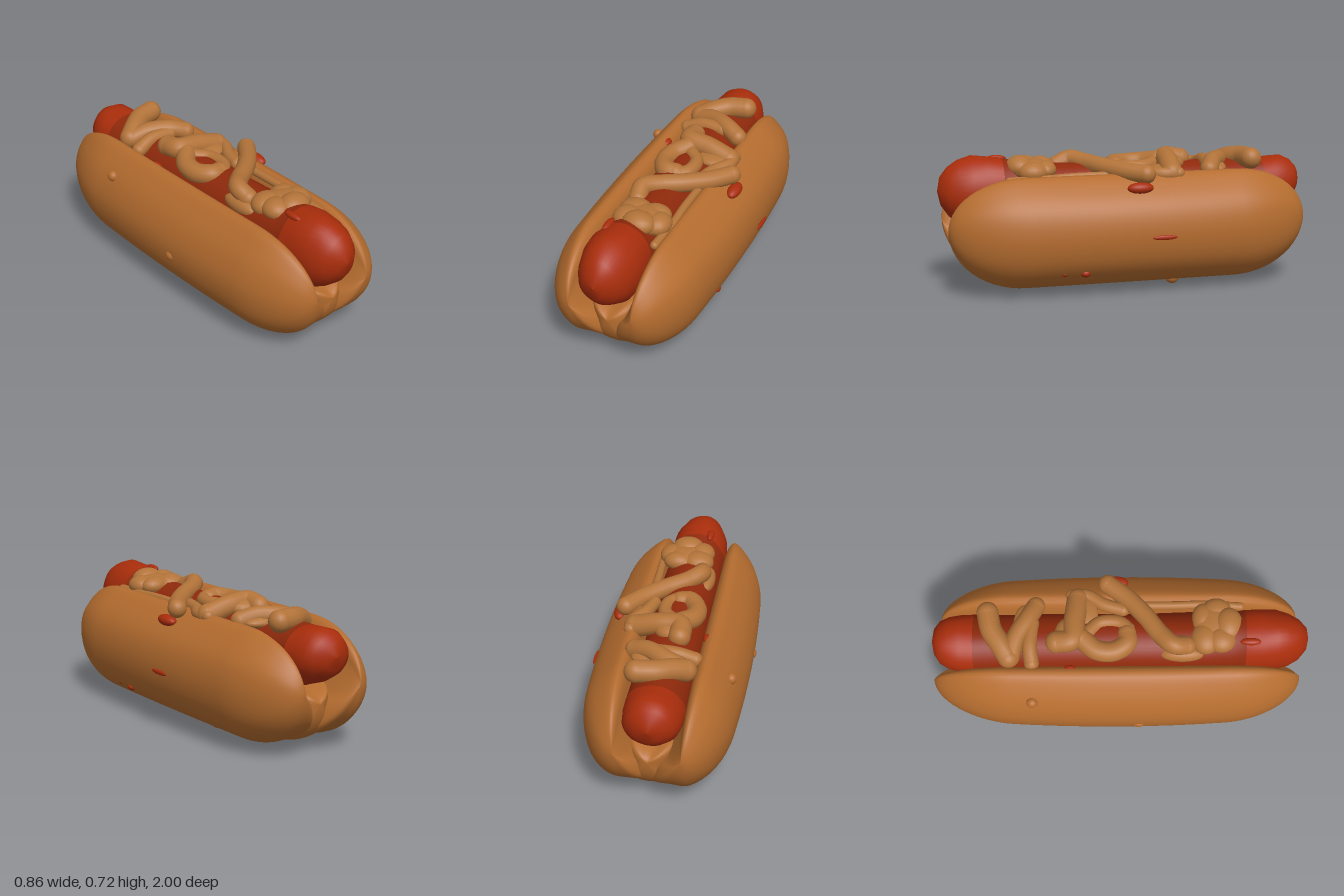
import * as THREE from 'three';

const paint = (name, color) => {
  const m = new THREE.MeshStandardMaterial({ color });
  m.name = name;
  return m;
};

// Skin a list of counterclockwise rings running toward +z
function loft(rings) {
  const n = rings[0].length, pos = [], idx = [];
  rings.forEach(r => r.forEach(p => pos.push(...p)));
  for (let i = 0; i < rings.length - 1; i++) {
    for (let j = 0; j < n; j++) {
      const k = (j + 1) % n;
      const a = i * n + j, b = i * n + k, c = a + n, d = b + n;
      idx.push(a, b, c, b, d, c);
    }
  }
  const g = new THREE.BufferGeometry();
  g.setAttribute('position', new THREE.Float32BufferAttribute(pos, 3));
  g.setIndex(idx);
  g.computeVertexNormals();
  return g;
}

// Piece of bun: a section that shrinks to rounded ends, with the outer side bowed along its length
function bunPiece(section, cx, cy, straight, zBack, zFront) {
  const curve = new THREE.CatmullRomCurve3(
    section.map(([x, y]) => new THREE.Vector3(x, y, 0)), true, 'centripetal');
  const outline = curve.getSpacedPoints(72).slice(0, 72);
  const N = 14, rings = [];
  const ring = (z, s) => rings.push(outline.map(p => {
    const outer = (p.x - cx) * cx > 0;
    const bow = outer ? 1 - 0.25 * z * z : 1;
    return [cx + (p.x - cx) * s * bow, cy + (p.y - cy) * s, z];
  }));
  for (let i = 0; i <= N; i++) {
    const a = (i / N) * Math.PI / 2;
    ring(-straight - (zBack - straight) * Math.cos(a), Math.sin(a) + 0.0005);
  }
  for (let i = 1; i < 12; i++) ring(-straight + 2 * straight * i / 12, 1);
  for (let i = N; i >= 0; i--) {
    const a = (i / N) * Math.PI / 2;
    ring(straight + (zFront - straight) * Math.cos(a), Math.sin(a) + 0.0005);
  }
  return loft(rings);
}

// Sausage piece from stations [z, centreY, radiusX, radiusY]
function sausagePiece(stations) {
  return loft(stations.map(([z, cy, rx, ry]) => Array.from({ length: 40 }, (_, j) => {
    const a = j / 40 * Math.PI * 2;
    const k = 1 + 0.02 * Math.sin(3 * a + z * 17) + 0.012 * Math.sin(5 * a - z * 31);
    return [-0.02 + rx * k * Math.cos(a), cy + ry * k * Math.sin(a), z];
  })));
}

export function createModel() {
  const model = new THREE.Group();
  const bunMat = paint('toasted bun', 0xb46c2f);
  const sauceMat = paint('mustard', 0xb27339);
  const redMat = paint('sausage red', 0xa82d0b);
  const darkMat = paint('dark sausage red', 0x8e290b);

  const add = (name, geometry, material, parent = model) => {
    const m = new THREE.Mesh(geometry, material);
    m.name = name;
    parent.add(m);
    return m;
  };
  const blob = (name, material, [x, y, z], [rx, ry, rz], parent = model) => {
    const m = add(name, new THREE.SphereGeometry(1, 20, 14), material, parent);
    m.position.set(x, y, z);
    m.scale.set(rx, ry, rz);
    return m;
  };

  // Bun halves with a V between them, and the hinge that joins them under the sausage
  const leftSection = [[-0.03, 0.05], [0.08, 0.035], [0.2, 0.045], [0.305, 0.105], [0.375, 0.2], [0.4, 0.34],
    [0.37, 0.47], [0.29, 0.565], [0.185, 0.63], [0.155, 0.6], [0.13, 0.5], [0.09, 0.38], [0.045, 0.27], [-0.02, 0.18]];
  const rightSection = [[0.03, 0.05], [-0.08, 0.035], [-0.2, 0.03], [-0.32, 0.1], [-0.395, 0.2], [-0.42, 0.34],
    [-0.39, 0.46], [-0.33, 0.555], [-0.235, 0.635], [-0.19, 0.6], [-0.165, 0.5], [-0.12, 0.38], [-0.065, 0.27], [0.01, 0.18]].reverse();
  const hingeSection = [[-0.1, 0.07], [0.1, 0.07], [0.13, 0.2], [0.11, 0.35], [-0.02, 0.33], [-0.14, 0.35], [-0.13, 0.2]];
  add('bunLeftHalf', bunPiece(leftSection, 0.16, 0.36, 0.57, 0.97, 0.965), bunMat);
  add('bunRightHalf', bunPiece(rightSection, -0.18, 0.36, 0.57, 0.995, 0.965), bunMat);
  add('bunHinge', bunPiece(hingeSection, 0, 0.27, 0.7, 0.9, 0.9), bunMat);

  // Crumbs and lumps on the crust
  [[[-0.4, 0.3, 0.1], [0.03, 0.03, 0.035]], [[0.13, 0.04, -0.24], [0.035, 0.038, 0.04]],
    [[-0.355, 0.51, -0.46], [0.028, 0.03, 0.03]]]
    .forEach(([p, s]) => blob('crustLump', bunMat, p, s));

  // Sausage: bulbous front, sunken middle, smaller back
  const path = [[-0.995, 0.53, 0.0005, 0.0005], [-0.98, 0.53, 0.07, 0.07], [-0.95, 0.525, 0.115, 0.105],
    [-0.9, 0.52, 0.14, 0.135], [-0.84, 0.51, 0.15, 0.145], [-0.77, 0.495, 0.152, 0.155],
    [-0.6, 0.48, 0.155, 0.165], [-0.35, 0.48, 0.157, 0.17], [-0.1, 0.485, 0.158, 0.172], [0.15, 0.485, 0.158, 0.172],
    [0.4, 0.49, 0.157, 0.175], [0.58, 0.495, 0.155, 0.185], [0.66, 0.51, 0.157, 0.195], [0.74, 0.517, 0.157, 0.203],
    [0.82, 0.522, 0.153, 0.198], [0.89, 0.53, 0.135, 0.168], [0.945, 0.535, 0.105, 0.13],
    [0.985, 0.54, 0.06, 0.075], [1, 0.54, 0.0005, 0.0005]];
  add('sausageBackEnd', sausagePiece(path.slice(0, 6)), redMat);
  add('sausageMiddle', sausagePiece(path.slice(5, 13)), darkMat);
  add('sausageFrontEnd', sausagePiece(path.slice(12)), redMat);

  // Mustard strands with rounded ends
  const mustard = new THREE.Group();
  mustard.name = 'mustard';
  model.add(mustard);
  const strand = (r, pts) => {
    const v = pts.map(p => new THREE.Vector3(...p));
    const curve = new THREE.CatmullRomCurve3(v);
    add('mustardStrand', new THREE.TubeGeometry(curve, 48, r, 14), sauceMat, mustard);
    [pts[0], pts[pts.length - 1]].forEach(p => blob('mustardTip', sauceMat, p, [r, r, r], mustard));
  };
  strand(0.058, [[0.09, 0.665, -0.69], [0, 0.66, -0.67], [-0.08, 0.645, -0.62], [-0.14, 0.62, -0.58]]);
  strand(0.05, [[-0.14, 0.62, -0.57], [-0.04, 0.645, -0.54], [0.06, 0.65, -0.48], [0.14, 0.625, -0.44]]);
  strand(0.04, [[-0.17, 0.605, -0.46], [-0.08, 0.635, -0.47], [0.04, 0.635, -0.46]]);
  strand(0.058, [[-0.07, 0.65, -0.33], [-0.06, 0.665, -0.25], [0.05, 0.655, -0.235], [0.18, 0.62, -0.22]]);
  strand(0.035, [[0.2, 0.62, -0.25], [0.2, 0.62, -0.17], [0.15, 0.62, -0.08], [0.12, 0.62, 0.02]]);
  strand(0.054, [[-0.05, 0.65, -0.2], [-0.11, 0.635, -0.12], [-0.115, 0.63, -0.03], [-0.07, 0.635, 0.04], [-0.02, 0.63, 0.04]]);
  strand(0.038, [[-0.02, 0.64, -0.17], [0.04, 0.635, -0.1], [0.04, 0.635, 0], [0, 0.635, 0.05]]);
  strand(0.05, [[0.26, 0.635, -0.06], [0.18, 0.64, 0.04], [0.08, 0.65, 0.13], [-0.03, 0.66, 0.21], [-0.095, 0.67, 0.28], [-0.09, 0.64, 0.35]]);

  // Thin mustard smears filling between strands
  [[[0.02, 0.62, -0.5], [0.13, 0.035, 0.06]], [[-0.02, 0.64, -0.26], [0.09, 0.05, 0.08]],
    [[-0.12, 0.6, 0.33], [0.045, 0.045, 0.12]], [[0.1, 0.625, -0.19], [0.1, 0.03, 0.08]]]
    .forEach(([p, s]) => blob('mustardSmear', sauceMat, p, s, mustard));

  // Mustard pile behind the sausage tip
  [[[-0.05, 0.64, 0.45], [0.09, 0.06, 0.08]], [[0.06, 0.645, 0.44], [0.08, 0.05, 0.06]],
    [[0.1, 0.64, 0.51], [0.07, 0.055, 0.08]], [[0.02, 0.66, 0.57], [0.09, 0.06, 0.075]],
    [[-0.06, 0.65, 0.53], [0.075, 0.055, 0.08]], [[0.02, 0.64, 0.5], [0.13, 0.058, 0.12]]]
    .forEach(([p, s]) => blob('mustardPile', sauceMat, p, s, mustard));
  strand(0.022, [[0.14, 0.605, 0.64], [0.15, 0.61, 0.45], [0.145, 0.615, 0.3], [0.145, 0.615, 0.1]]);

  // Red sauce drips and specks
  [[[0.295, 0.57, -0.02], [0.036, 0.03, 0.07]], [[0.42, 0.33, -0.12], [0.009, 0.013, 0.065]],
    [[0.32, 0.14, 0.28], [0.03, 0.022, 0.028]], [[0.32, 0.14, 0.39], [0.014, 0.012, 0.018]],
    [[-0.205, 0.605, -0.26], [0.022, 0.02, 0.035]], [[-0.09, 0.69, 0.68], [0.02, 0.018, 0.055]]]
    .forEach(([p, s]) => blob('redDrip', redMat, p, s));

  return model;
}
